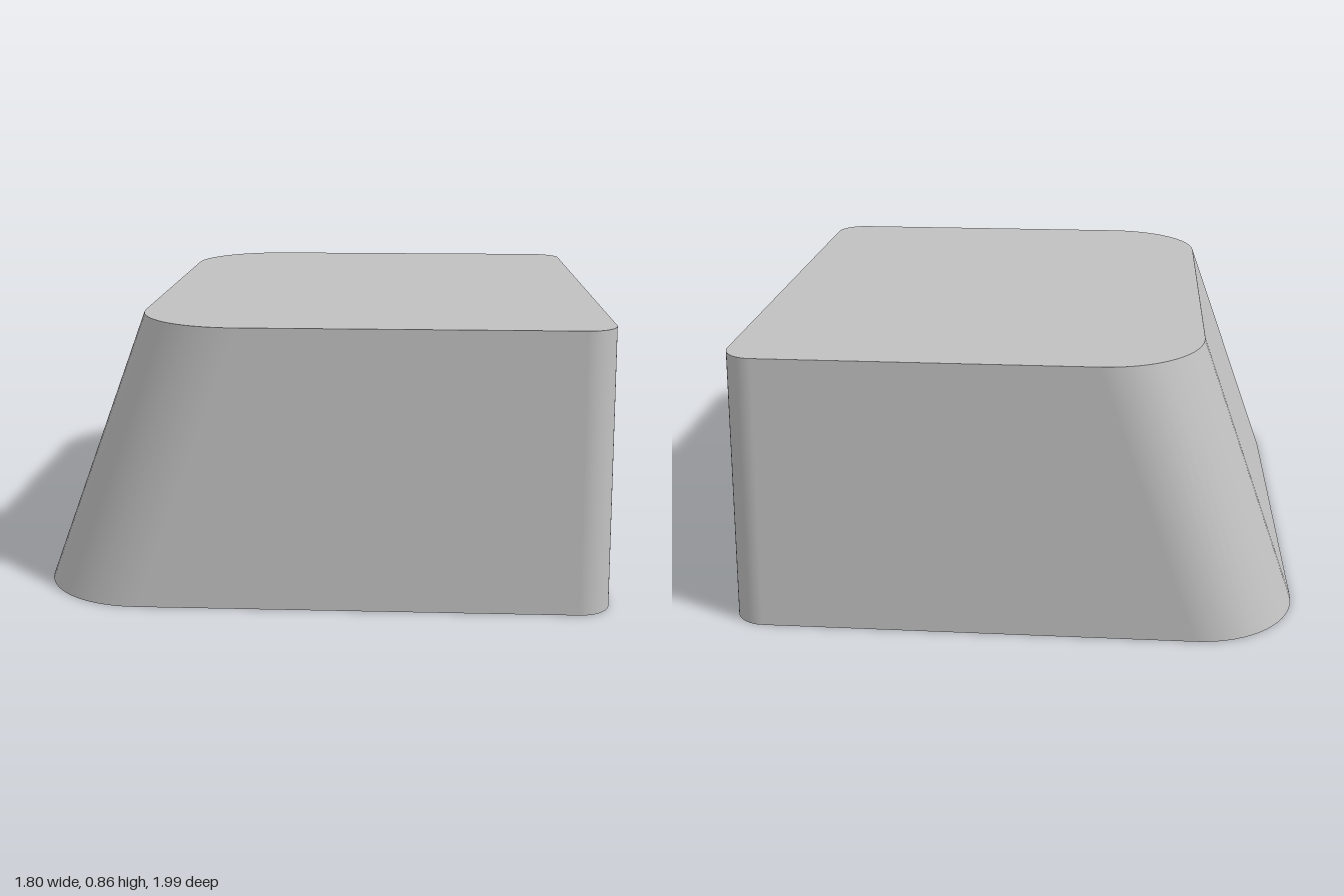
import * as THREE from 'three';

const HEIGHT = 0.855;
const STEPS = 16; // segments per rounded corner

// Corners in order: signs of x and z, then radius (large on the sloping side)
const CORNERS = [[1, 1, 0.1], [-1, 1, 0.32], [-1, -1, 0.32], [1, -1, 0.1]];

// Rounded outline with its corner angles
function outline(left, right, halfDepth, y) {
  const points = [];
  CORNERS.forEach(([sx, sz, r], corner) => {
    const cx = sx > 0 ? right - r : left + r;
    const cz = sz * (halfDepth - r);
    for (let i = 0; i <= STEPS; i++) {
      const a = (corner + i / STEPS) * Math.PI / 2;
      points.push({ a, x: cx + r * Math.cos(a), y, z: cz + r * Math.sin(a) });
    }
  });
  return points;
}

function makeGeometry(position, normal, index) {
  const g = new THREE.BufferGeometry();
  g.setAttribute('position', new THREE.Float32BufferAttribute(position, 3));
  g.setAttribute('normal', new THREE.Float32BufferAttribute(normal, 3));
  g.setIndex(index);
  return g;
}

// Smooth wall joining the lower outline to the upper one
function wallGeometry(bottom, top) {
  const position = [], normal = [], index = [], n = bottom.length;
  bottom.forEach((b, i) => {
    const t = top[i], c = Math.cos(b.a), s = Math.sin(b.a);
    const ny = -((t.x - b.x) * c + (t.z - b.z) * s) / HEIGHT;
    const len = Math.hypot(1, ny);
    position.push(b.x, b.y, b.z, t.x, t.y, t.z);
    for (let k = 0; k < 2; k++) normal.push(c / len, ny / len, s / len);
    const b0 = 2 * i, b1 = 2 * ((i + 1) % n);
    index.push(b0, b0 + 1, b1, b1, b0 + 1, b1 + 1);
  });
  return makeGeometry(position, normal, index);
}

// Flat fan closing an outline, facing up or down
function capGeometry(points, up) {
  const position = [0, points[0].y, 0], normal = [0, up, 0], index = [], n = points.length;
  points.forEach((p, i) => {
    position.push(p.x, p.y, p.z);
    normal.push(0, up, 0);
    const next = 1 + (i + 1) % n;
    if (up > 0) index.push(0, next, i + 1);
    else index.push(0, i + 1, next);
  });
  return makeGeometry(position, normal, index);
}

export function createModel() {
  const group = new THREE.Group();
  group.name = 'taperedBlock';

  const grey = new THREE.MeshStandardMaterial({ color: 0xc0c0c0 });
  grey.name = 'grey';

  const bottom = outline(-0.889, 0.886, 0.986, 0);
  const top = outline(-0.58, 0.886, 0.902, HEIGHT);

  const add = (name, geometry) => {
    const mesh = new THREE.Mesh(geometry, grey);
    mesh.name = name;
    group.add(mesh);
  };
  add('sideWall', wallGeometry(bottom, top));
  add('topFace', capGeometry(top, 1));
  add('bottomFace', capGeometry(bottom, -1));

  // The block sits very slightly turned
  group.rotation.y = 0.0165;
  return group;
}
